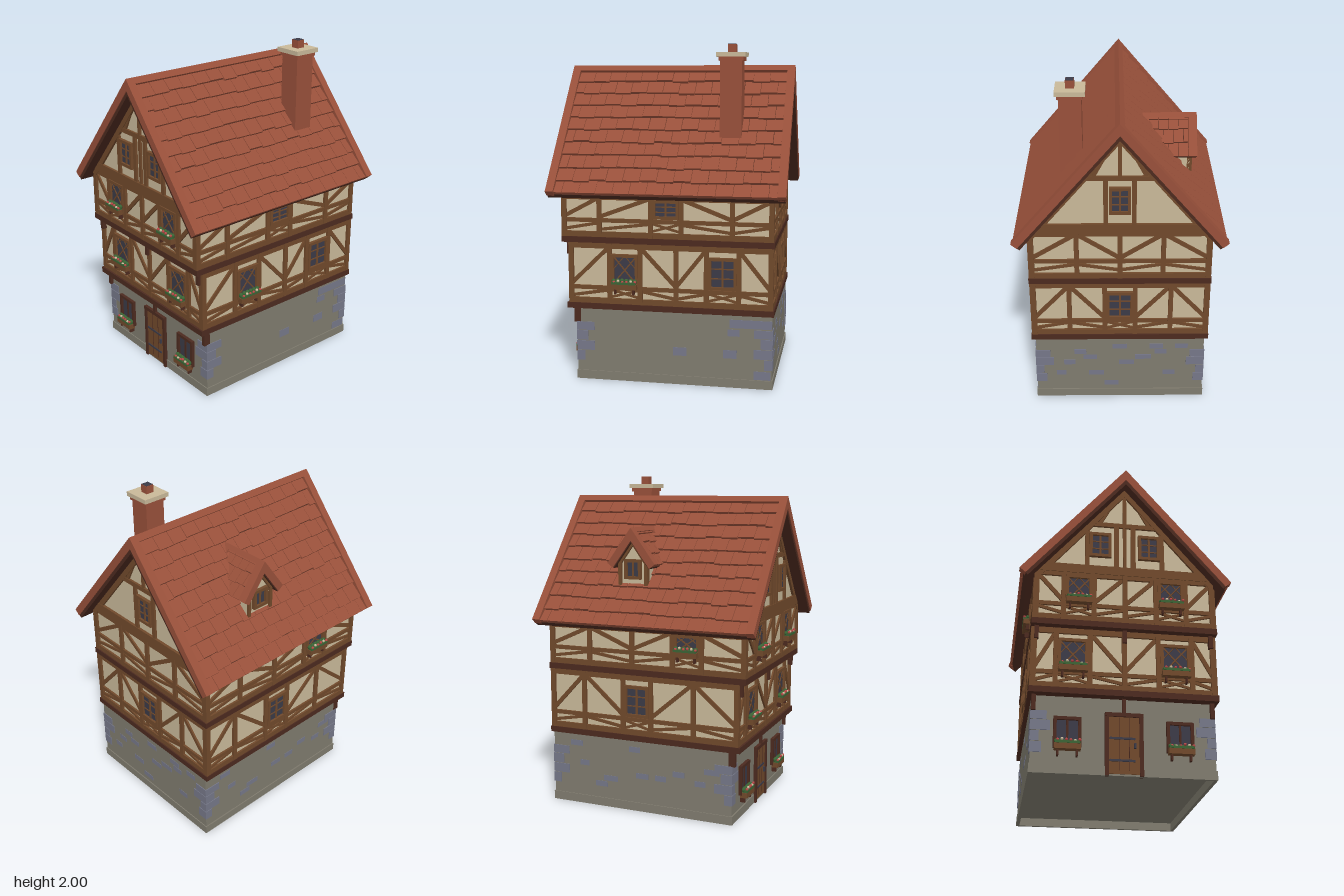
import * as THREE from 'three';
import { mergeGeometries } from 'three/addons/utils/BufferGeometryUtils.js';

const mat = (name, color) => Object.assign(new THREE.MeshStandardMaterial({ color }), { name });
const M = {
  plaster: mat('plaster', 0xc8b899), timber: mat('timber', 0x70492b), dark: mat('dark timber', 0x4c2a1f),
  stone: mat('stone', 0x7f7b6e), blue: mat('blue stone', 0x757788), glass: mat('window glass', 0x3b3a47),
  tile: mat('roof tile', 0x98503a), leaf: mat('leaves', 0x3a6334), red: mat('red flowers', 0xb84848),
};

let seed = 7;
const rnd = () => (seed = (seed * 16807) % 2147483647) / 2147483647;

function add(parent, name, geo, material, x = 0, y = 0, z = 0) {
  const m = new THREE.Mesh(geo, material);
  m.name = name;
  m.position.set(x, y, z);
  parent.add(m);
  return m;
}
const box = (p, name, m, w, h, d, x, y, z) => add(p, name, new THREE.BoxGeometry(w, h, d), m, x, y, z);
function group(parent, name, x = 0, y = 0, z = 0, ry = 0) {
  const g = new THREE.Group();
  g.name = name;
  g.position.set(x, y, z);
  g.rotation.y = ry;
  parent.add(g);
  return g;
}

// A straight timber on a wall face, from (u1,v1) to (u2,v2)
function beam(f, u1, v1, u2, v2, w = 0.03, m = M.timber, out = 0.015, name = 'timber') {
  const b = box(f, name, m, Math.hypot(u2 - u1, v2 - v1), w, out * 2, (u1 + u2) / 2, (v1 + v2) / 2, 0);
  b.rotation.z = Math.atan2(v2 - v1, u2 - u1);
}

// Planter with leaves, blossoms and two brackets
function flowerBox(f, u, v, w) {
  const g = group(f, 'flowerBox', u, v, 0.03);
  box(g, 'planter', M.timber, w, 0.032, 0.042, 0, -0.016, 0);
  for (const s of [-1, 1]) box(g, 'bracket', M.dark, 0.01, 0.035, 0.03, s * w * 0.36, -0.047, -0.01);
  box(g, 'leafBed', M.leaf, w * 0.94, 0.014, 0.046, 0, 0.006, 0);
  for (let i = 0; i < 6; i++) {
    const x = (i / 5 - 0.5) * w * 0.82;
    add(g, 'leaves', new THREE.SphereGeometry(0.013, 12, 8), M.leaf, x, 0.012 + rnd() * 0.006, -0.004);
    add(g, 'blossom', new THREE.SphereGeometry(0.0085, 12, 8), i % 3 === 1 ? M.plaster : M.red, x + w * 0.04, 0.012 + rnd() * 0.012, 0.015);
  }
}

// Window centred at (u,v); style: lattice, panes or plain
function windowPart(f, u, v, w, h, style, planter, frame = M.timber) {
  const g = group(f, 'window', u, v, 0);
  box(g, 'glass', M.glass, w, h, 0.008, 0, 0, 0.002);
  for (const s of [-1, 1]) {
    beam(g, s * w / 2, -h / 2, s * w / 2, h / 2, 0.018, frame, 0.02, 'frame');
    beam(g, -w / 2 - 0.009, s * h / 2, w / 2 + 0.009, s * h / 2, 0.018, frame, 0.02, 'frame');
    if (style === 'lattice') {
      beam(g, -w / 2, -s * h / 2, w / 2, s * h / 2, 0.008, frame, 0.01, 'lattice');
      beam(g, s * w / 2, 0, 0, h / 2, 0.005, frame, 0.009, 'lattice');
    }
    if (style === 'panes') beam(g, -w / 2, s * h / 6, w / 2, s * h / 6, 0.007, frame, 0.01, 'glazingBar');
  }
  if (style !== 'lattice') beam(g, 0, -h / 2, 0, h / 2, 0.012, frame, 0.012, 'mullion');
  if (planter) flowerBox(f, u, v - h / 2 + 0.008, w + 0.01);
}

// Framed storey: bays are [u0, u1, infill]; infill is / or \ or window (W = with flowers, w = without)
function storey(f, v0, v1, sill, head, bays) {
  const a = bays[0][0], b = bays[bays.length - 1][1], low = (v0 + 0.03 + sill) / 2;
  for (const v of [v0 + 0.016, sill, v1 - 0.016]) beam(f, a, v, b, v, v === sill ? 0.024 : 0.034, M.timber, 0.013, 'rail');
  beam(f, a, v0, a, v1);
  for (const [l, r, kind] of bays) {
    beam(f, r, v0, r, v1, 0.028);
    if (kind.toLowerCase() === 'w') {
      const h = head - sill - 0.025;
      windowPart(f, (l + r) / 2, head - h / 2, r - l - 0.04, h, kind === 'W' ? 'lattice' : 'panes', kind === 'W');
      for (const s of [-1, 1]) beam(f, l, low - s * 0.025, r, low + s * 0.025, 0.014, M.timber, 0.01, 'cross');
    } else {
      const up = kind === '/' ? 1 : -1, mid = (sill + v1) / 2, d = (v1 - sill) / 2 - 0.02;
      beam(f, l, mid - up * d, r, mid + up * d, 0.024, M.timber, 0.011, 'brace');
      beam(f, l, low - up * 0.02, r, low + up * 0.02, 0.018, M.timber, 0.01, 'lowBrace');
    }
  }
}

// Mitred inverted V along local z, between two depths below the roof surface
function chevron(parent, name, m, x, angle, top, bottom, len, z) {
  const k = Math.tan(angle), c = Math.cos(angle), s = Math.sin(angle);
  const half = [[x - top * s, top], [x - bottom * s, bottom]].map(([px, t]) => [px, -px * k - t / c]);
  const pts = [half[0], half[1], [0, -bottom / c], [-half[1][0], half[1][1]], [-half[0][0], half[0][1]], [0, -top / c]];
  const shape = new THREE.Shape(pts.map(p => new THREE.Vector2(...p)));
  add(parent, name, new THREE.ExtrudeGeometry(shape, { depth: len, bevelEnabled: false }), m, 0, 0, z - len / 2);
}

// Pitched roof along local z with staggered, overlapping tiles
function pitchedRoof(parent, name, run, drop, len, rows, cols, verge, ridge, deck) {
  const g = group(parent, name), slope = Math.hypot(run, drop), angle = Math.atan2(drop, run);
  chevron(g, 'roofDeck', M.dark, run, angle, 0.031, deck, len - 0.01, 0);
  chevron(g, 'ridgeCap', M.tile, ridge, angle, 0, 0.034, len, 0);
  for (const e of [-1, 1]) chevron(g, 'vergeBoard', M.tile, run, angle, 0, 0.045, verge, e * (len - verge) / 2);
  const span = len - 2 * verge, tw = span / cols, start = ridge * 0.9, pitch = (slope - start) / rows, tilt = 0.014 / pitch;
  for (const s of [-1, 1]) {
    const side = group(g, 'roofSide');
    side.rotation.z = -s * angle;
    const tiles = [];
    for (let i = 0; i < rows; i++) {
      for (let j = 0; j <= cols; j++) {
        const z0 = Math.max(0, (j - (i % 2) / 2) * tw), z1 = Math.min(span, (j + 1 - (i % 2) / 2) * tw);
        if (z1 - z0 < 0.01) continue;
        const l = pitch * (i === rows - 1 ? 1 : 0.96 + rnd() * 0.16);
        const t = new THREE.BoxGeometry(l, 0.014, z1 - z0 - 0.001 - rnd() * 0.003);
        t.rotateZ(s * tilt);
        t.translate(s * (start + i * pitch + l / 2), -0.022, (z0 + z1) / 2 - span / 2);
        tiles.push(t);
      }
    }
    add(side, 'tiles', mergeGeometries(tiles), M.tile);
  }
  return g;
}

// House-shaped prism along local z
function prism(parent, name, hw, y0, y1, apex, z0, z1) {
  const s = new THREE.Shape([[-hw, y0], [hw, y0], [hw, y1], [0, apex], [-hw, y1]].map(p => new THREE.Vector2(...p)));
  return add(parent, name, new THREE.ExtrudeGeometry(s, { depth: z1 - z0, bevelEnabled: false }), M.plaster, 0, 0, z0);
}

export function createModel() {
  const house = new THREE.Group();
  house.name = 'timberFramedHouse';
  const H = Math.PI / 2;

  // Stone ground floor on a hollow plinth ring, with corner quoins
  const base = group(house, 'groundFloor');
  box(base, 'stoneWalls', M.stone, 1.02, 0.395, 1.17, 0, 0.2475, -0.04);
  for (const s of [-1, 1]) {
    box(base, 'plinthSide', M.stone, 0.02, 0.052, 1.182, s * 0.506, 0.026, -0.04);
    box(base, 'plinthEnd', M.stone, 0.992, 0.052, 0.02, 0, 0.026, -0.04 + s * 0.581);
  }
  const quoins = [[0.145, 0.06, 0.065, 0.05], [0.208, 0.056, 0.05, 0.11], [0.27, 0.058, 0.11, 0.07], [0.328, 0.05, 0.09, 0.11]];
  for (const sx of [-1, 1]) for (const sz of [-1, 1]) for (const [y, h, w, d] of quoins)
    box(base, 'quoin', M.blue, w, h, d, sx * (0.515 - w / 2), y, -0.04 + sz * (0.59 - d / 2));
  // Scattered facing stones
  const right = group(base, 'rightStones', 0.51, 0, 0, H);
  for (const [u, v, w, h] of [[0.5, 0.385, 0.25, 0.05], [0.38, 0.2, 0.08, 0.05], [0.08, 0.2, 0.08, 0.05], [0.4, 0.33, 0.07, 0.04], [0.57, 0.08, 0.1, 0.05]])
    box(right, 'faceStone', M.blue, w, h, 0.004, u, v, 0);
  for (const [x, z, ry, half, n] of [[0, -0.625, 2 * H, 0.42, 13], [-0.51, -0.04, -H, 0.5, 10]]) {
    const f = group(base, 'scatteredStones', x, 0, z, ry);
    for (let i = 0; i < n; i++)
      box(f, 'faceStone', M.blue, 0.06 + rnd() * 0.04, 0.034, 0.004, ((i + rnd()) / n * 2 - 1) * half, 0.1 + Math.floor(rnd() * 8) * 0.04, 0);
  }

  // Door and ground floor windows
  const gf = group(base, 'entranceFront', 0, 0, 0.545);
  box(gf, 'door', M.timber, 0.17, 0.33, 0.012, 0, 0.175, 0.004);
  for (const x of [-0.028, 0.028]) box(gf, 'plankGroove', M.dark, 0.003, 0.3, 0.004, x, 0.18, 0.01);
  for (const y of [0.085, 0.21]) box(gf, 'hinge', M.glass, 0.14, 0.012, 0.006, -0.01, y, 0.012);
  box(gf, 'handle', M.glass, 0.012, 0.03, 0.014, 0.06, 0.17, 0.014);
  for (const s of [-1, 1]) {
    beam(gf, s * 0.095, 0, s * 0.095, 0.355, 0.022, M.dark, 0.018, 'doorFrame');
    windowPart(gf, s * 0.312, 0.23, 0.135, 0.16, 'plain', true, M.dark);
    beam(gf, s * 0.5, 0.35, s * 0.5, 0.44, 0.024, M.dark, 0.02, 'jettyBracket');
  }
  beam(gf, -0.106, 0.345, 0.106, 0.345, 0.022, M.dark, 0.02, 'lintel');
  beam(gf, 0, 0.35, 0, 0.44, 0.02, M.dark, 0.018, 'jettyBracket');

  // Plaster storeys and jetty beams
  box(house, 'firstFloorWalls', M.plaster, 1.03, 0.4, 1.19, 0, 0.65, -0.02);
  prism(house, 'secondFloorWalls', 0.515, 0.85, 1.16, 1.785, -0.615, 0.615);
  box(house, 'lowerJettyBeam', M.dark, 1.066, 0.035, 1.235, 0, 0.4575, -0.0175);
  box(house, 'upperJettyBeam', M.dark, 1.066, 0.035, 1.266, 0, 0.858, -0.002);

  // First floor framing
  const f1 = group(house, 'firstFloorFront', 0, 0, 0.575);
  storey(f1, 0.475, 0.84, 0.57, 0.767, [[-0.51, -0.388, '/'], [-0.388, -0.195, 'W'], [-0.195, 0, '\\'], [0, 0.195, '/'], [0.195, 0.388, 'W'], [0.388, 0.51, '\\']]);
  for (const x of [-0.5, 0, 0.5]) beam(f1, x, 0.765, x, 0.845, 0.024, M.dark, 0.03, 'jettyBracket');
  const r1 = group(house, 'firstFloorRight', 0.515, 0, 0, H);
  storey(r1, 0.475, 0.84, 0.57, 0.767, [[-0.575, -0.34, '/'], [-0.34, -0.155, 'W'], [-0.155, 0.06, '\\'], [0.06, 0.24, '/'], [0.24, 0.43, 'w'], [0.43, 0.615, '\\']]);
  const l1 = group(house, 'firstFloorLeft', -0.515, 0, 0, -H);
  storey(l1, 0.475, 0.84, 0.57, 0.767, [[-0.615, -0.4, '/'], [-0.4, -0.14, '\\'], [-0.14, 0.04, 'w'], [0.04, 0.31, '/'], [0.31, 0.575, '\\']]);
  const b1 = group(house, 'firstFloorBack', 0, 0, -0.615, 2 * H);
  storey(b1, 0.475, 0.84, 0.57, 0.767, [[-0.51, -0.3, '/'], [-0.3, -0.09, '\\'], [-0.09, 0.09, 'w'], [0.09, 0.3, '/'], [0.3, 0.51, '\\']]);

  // Second floor framing
  const f2 = group(house, 'secondFloorFront', 0, 0, 0.615);
  storey(f2, 0.875, 1.19, 0.975, 1.155, [[-0.51, -0.355, '\\'], [-0.355, -0.18, 'W'], [-0.18, 0, '/'], [0, 0.18, '/'], [0.18, 0.355, 'W'], [0.355, 0.51, '/']]);
  const r2 = group(house, 'secondFloorRight', 0.515, 0, 0, H);
  storey(r2, 0.875, 1.13, 0.975, 1.095, [[-0.615, -0.4, '/'], [-0.4, -0.09, '/'], [-0.09, 0.09, 'w'], [0.09, 0.39, '\\'], [0.39, 0.615, '/']]);
  const l2 = group(house, 'secondFloorLeft', -0.515, 0, 0, -H);
  storey(l2, 0.875, 1.13, 0.975, 1.095, [[-0.615, -0.36, '/'], [-0.36, -0.08, '\\'], [-0.08, 0.18, '/'], [0.18, 0.36, 'W'], [0.36, 0.615, '\\']]);
  const b2 = group(house, 'secondFloorBack', 0, 0, -0.615, 2 * H);
  storey(b2, 0.875, 1.19, 0.99, 1.155, [[-0.51, -0.25, '/'], [-0.25, 0, '\\'], [0, 0.25, '/'], [0.25, 0.51, '\\']]);

  // Gable framing
  for (const f of [f2, b2]) {
    beam(f, -0.515, 1.21, 0.515, 1.21, 0.055, M.timber, 0.017, 'gableBeam');
    beam(f, -0.24, 1.525, 0.24, 1.525, 0.028, M.timber, 0.014, 'collarBeam');
    beam(f, 0, 1.525, 0, 1.78, 0.022, M.timber, 0.013, 'kingPost');
    for (const s of [-1, 1]) {
      beam(f, s * 0.515, 1.15, 0, 1.765, 0.04, M.timber, 0.015, 'rafter');
      beam(f, s * 0.15, 1.53, s * 0.07, 1.68, 0.02, M.timber, 0.011, 'gableBrace');
      if (f === f2) {
        beam(f, s * 0.222, 1.23, s * 0.222, 1.52, 0.026, M.timber, 0.014, 'stud');
        beam(f, s * 0.05, 1.23, s * 0.05, 1.52, 0.028, M.timber, 0.014, 'stud');
        windowPart(f, s * 0.145, 1.382, 0.112, 0.145, 'panes', false);
      } else beam(f, s * 0.08, 1.23, s * 0.08, 1.52, 0.026, M.timber, 0.014, 'stud');
    }
    if (f === f2) beam(f, 0, 1.23, 0, 1.52, 0.02, M.timber, 0.013, 'stud');
    else windowPart(f, 0, 1.385, 0.105, 0.15, 'panes', false);
  }

  // Main roof
  pitchedRoof(house, 'mainRoof', 0.615, 0.73, 1.4, 10, 13, 0.048, 0.026, 0.064).position.y = 1.88;

  // Dormer facing the left-hand slope
  const dormer = group(house, 'dormer', -0.295, 0, -0.115, -H);
  pitchedRoof(dormer, 'dormerRoof', 0.154, 0.21, 0.33, 3, 4, 0.05, 0.018, 0.05).position.set(0, 1.7, -0.005);
  prism(dormer, 'dormerWalls', 0.095, 1.34, 1.49, 1.62, -0.12, 0.12);
  const df = group(dormer, 'dormerFront', 0, 0, 0.12);
  windowPart(df, 0, 1.455, 0.09, 0.1, 'plain', false);
  for (const s of [-1, 1]) {
    beam(df, s * 0.085, 1.36, s * 0.085, 1.5, 0.02);
    beam(df, s * 0.09, 1.485, 0, 1.61, 0.02);
  }

  // Chimney
  const chimney = group(house, 'chimney', 0.275, 0, -0.35);
  box(chimney, 'shaft', M.tile, 0.128, 0.55, 0.128, 0, 1.645, 0);
  box(chimney, 'collar', M.tile, 0.145, 0.025, 0.145, 0, 1.915, 0);
  box(chimney, 'cap', M.plaster, 0.17, 0.026, 0.17, 0, 1.938, 0);
  box(chimney, 'flue', M.tile, 0.05, 0.05, 0.05, 0, 1.973, 0);
  box(chimney, 'flueOpening', M.glass, 0.046, 0.004, 0.046, 0, 1.998, 0);
  return house;
}
